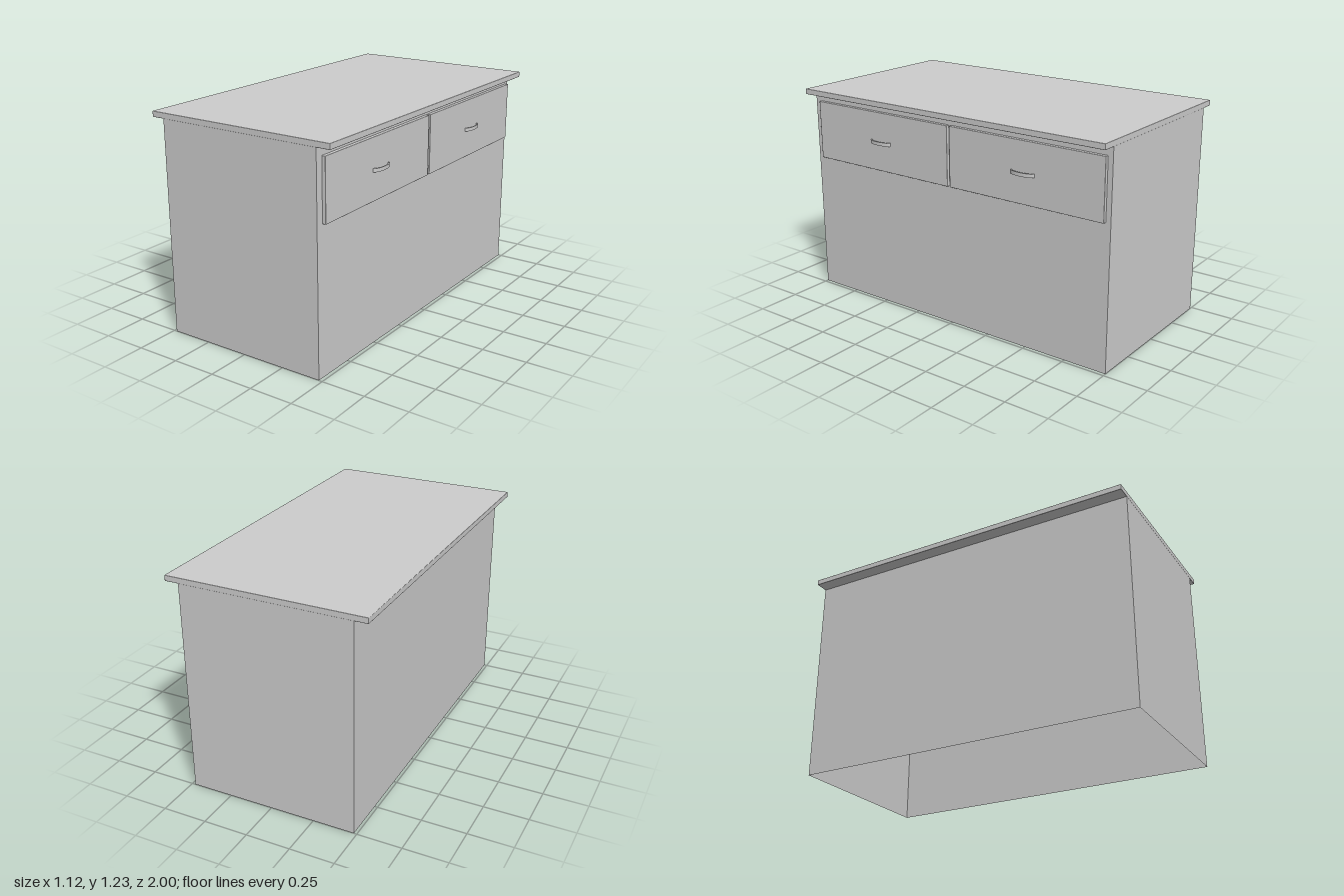
import * as THREE from 'three';
import { RoundedBoxGeometry } from 'three/addons/geometries/RoundedBoxGeometry.js';

const grey = new THREE.MeshStandardMaterial({ color: 0xcccccc });
const thin = new THREE.MeshStandardMaterial({ color: 0xcccccc, side: THREE.DoubleSide });

// Slab with a tiny softened edge, given by its extents
function slab(name, [x0, x1], [y0, y1], [z0, z1]) {
  const mesh = new THREE.Mesh(new RoundedBoxGeometry(x1 - x0, y1 - y0, z1 - z0, 1, 0.003), grey);
  mesh.position.set((x0 + x1) / 2, (y0 + y1) / 2, (z0 + z1) / 2);
  mesh.name = name;
  return mesh;
}

// Cabinet carcass: four thin walls, open underneath
function cabinet([x0, x1], height, halfDepth) {
  const group = new THREE.Group();
  group.name = 'cabinet';
  const width = x1 - x0;
  ['frontWall', 'leftWall', 'backWall', 'rightWall'].forEach((name, i) => {
    const side = i % 2 === 1;
    const wall = new THREE.Mesh(new THREE.PlaneGeometry(side ? halfDepth * 2 : width, height), thin);
    const angle = (i * Math.PI) / 2;
    wall.rotation.y = angle;
    wall.position.set((x0 + x1) / 2 + Math.sin(angle) * width / 2, height / 2, Math.cos(angle) * halfDepth);
    wall.name = name;
    group.add(wall);
  });
  return group;
}

// Bowed pull handle: flat crescent band extruded upward
function handleGeometry() {
  const shape = new THREE.Shape();
  shape.moveTo(0.073, 0);
  shape.absellipse(0, 0, 0.073, 0.026, 0, Math.PI, false);
  shape.lineTo(-0.066, 0);
  shape.absellipse(0, 0, 0.066, 0.019, Math.PI, 0, true);
  shape.closePath();
  const geometry = new THREE.ExtrudeGeometry(shape, { depth: 0.02, bevelEnabled: false, curveSegments: 16 });
  // Chord along z, bow towards +x, band height along y
  return geometry.applyMatrix4(new THREE.Matrix4().makeBasis(
    new THREE.Vector3(0, 0, 1), new THREE.Vector3(1, 0, 0), new THREE.Vector3(0, 1, 0)));
}

export function createModel() {
  const model = new THREE.Group();
  model.name = 'drawerCounter';
  model.add(cabinet([-0.484, 0.48], 1.196, 0.999));
  model.add(slab('countertop', [-0.559, 0.559], [1.195, 1.227], [-1, 1]));

  // Two drawers side by side, each with a handle
  const pull = handleGeometry();
  for (const [label, centre] of [['front', 0.478], ['back', -0.493]]) {
    const drawer = new THREE.Group();
    drawer.name = label + 'Drawer';
    drawer.add(slab('drawerPanel', [0.478, 0.5], [0.81, 1.148], [centre - 0.478, centre + 0.478]));
    const handle = new THREE.Mesh(pull, grey);
    handle.position.set(0.499, 0.966, centre);
    handle.name = 'handle';
    drawer.add(handle);
    model.add(drawer);
  }
  return model;
}
